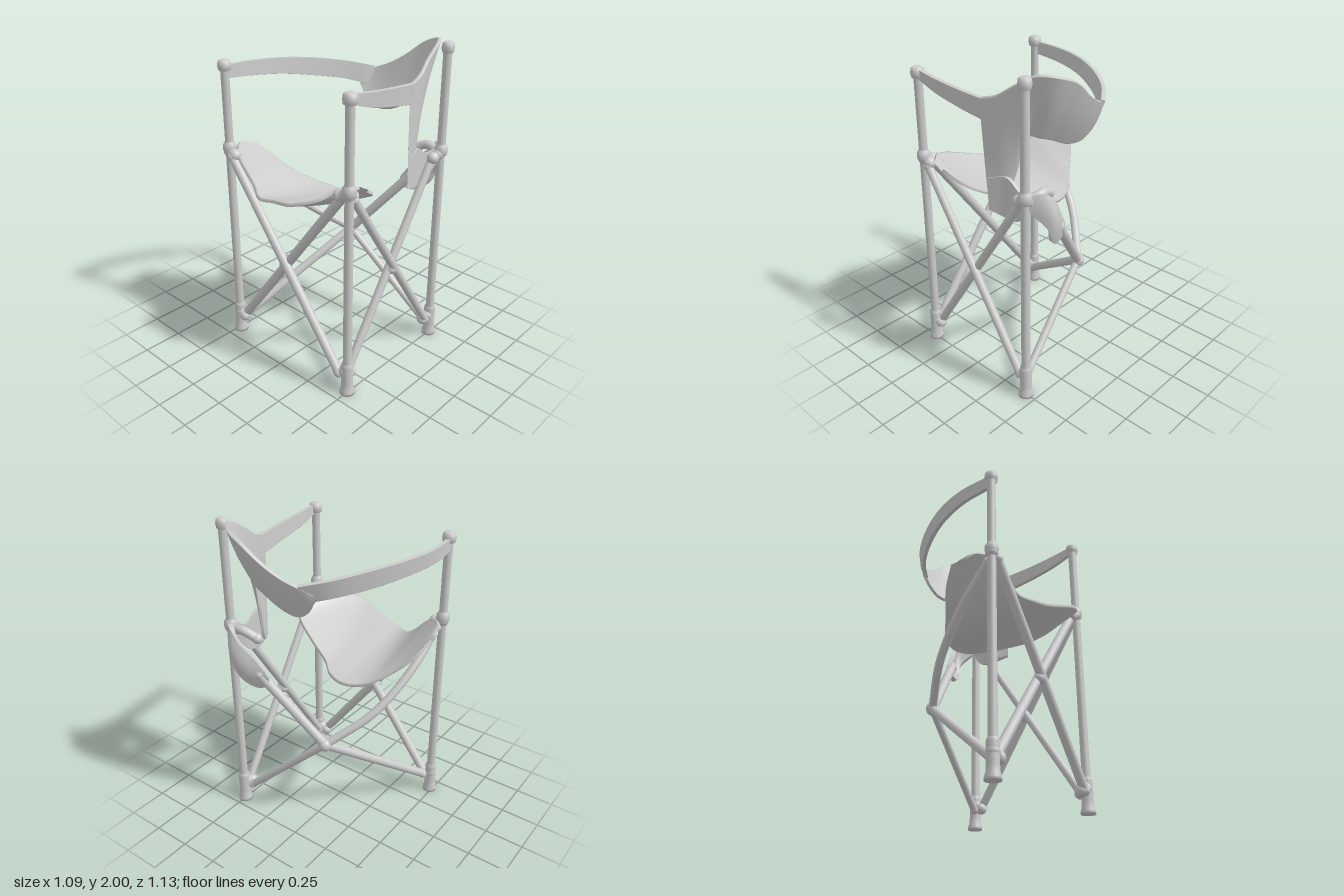
import * as THREE from 'three';

const grey = new THREE.MeshStandardMaterial({ color: 0xcccccc, side: THREE.DoubleSide });
grey.name = 'light grey';

const vec = (p) => new THREE.Vector3(...p);

function add(group, name, geometry) {
  const mesh = new THREE.Mesh(geometry, grey);
  mesh.name = name;
  group.add(mesh);
  return mesh;
}

// Cloth lofted between two edge curves, with a bulge in the middle and a real thickness
function cloth(edgeA, edgeB, { sag = [0, 0, 0], thick = 0.018, nu = 48, nv = 12 } = {}) {
  const a = new THREE.CatmullRomCurve3(edgeA.map(vec));
  const b = new THREE.CatmullRomCurve3(edgeB.map(vec));
  const bulge = vec(sag);
  const at = (u, v) => a.getPoint(u).lerp(b.getPoint(u), v)
    .addScaledVector(bulge, Math.sin(Math.PI * v) * Math.sin(Math.PI * u));
  const positions = [], index = [], ring = 2 * (nv + 1), e = 0.01;
  for (let i = 0; i <= nu; i++) {
    const u = i / nu;
    for (let k = 0; k < ring; k++) {
      const j = k <= nv ? k : ring - 1 - k;
      const v = (1 - Math.cos(Math.PI * j / nv)) / 2;
      const du = at(Math.min(u + e, 1), v).sub(at(Math.max(u - e, 0), v));
      const dv = at(u, Math.min(v + e, 1)).sub(at(u, Math.max(v - e, 0)));
      const n = dv.cross(du).normalize();
      const p = at(u, v).addScaledVector(n, (k <= nv ? 0.5 : -0.5) * thick);
      positions.push(p.x, p.y, p.z);
      if (i < nu) {
        const k2 = (k + 1) % ring, p0 = i * ring, p1 = p0 + ring;
        index.push(p0 + k, p0 + k2, p1 + k, p0 + k2, p1 + k2, p1 + k);
      }
    }
  }
  const g = new THREE.BufferGeometry();
  g.setAttribute('position', new THREE.Float32BufferAttribute(positions, 3));
  g.setIndex(index);
  g.computeVertexNormals();
  return g;
}

// Round bar through a few points, with a ball at each end
function bar(group, name, points, radius = 0.028) {
  const curve = new THREE.CatmullRomCurve3(points.map(vec));
  add(group, name, new THREE.TubeGeometry(curve, points.length > 2 ? 24 : 1, radius, 14));
  ball(group, name + 'End', points[0], radius * 1.15);
  ball(group, name + 'End', points[points.length - 1], radius * 1.15);
}

function ball(group, name, p, r) {
  add(group, name, new THREE.SphereGeometry(r, 16, 12)).position.set(...p);
}

// Upright with foot, lower socket, seat collar and top knob
function post(group, name, x, z, top, knob) {
  const profile = [
    [0, 0], [0.046, 0], [0.046, 0.018], [0.038, 0.045], [0.036, 0.08], [0.037, 0.2], [0.033, 0.215],
    [0.027, 0.225], [0.026, 1.3], [0.036, 1.31], [0.042, 1.335], [0.04, 1.36], [0.03, 1.375],
    [0.026, 1.385], [0.026, top - 0.07], [knob * 0.9, top - 0.06], [knob, top - 0.035],
    [knob * 0.9, top - 0.01], [knob * 0.55, top], [0, top],
  ].map(([r, y]) => new THREE.Vector2(r, y));
  add(group, name, new THREE.LatheGeometry(profile, 24)).position.set(x, 0, z);
}

export function createModel() {
  const chair = new THREE.Group();
  chair.name = 'foldingChair';

  // Three uprights
  post(chair, 'frontRightPost', -0.48, 0.41, 1.885, 0.042);
  post(chair, 'frontLeftPost', 0.497, 0.41, 1.885, 0.042);
  post(chair, 'backLeftPost', 0.5, -0.43, 2.0, 0.038);

  // Crossed bars on the front and left sides
  for (const s of [-1, 1]) {
    bar(chair, 'frontCrossBar', [[-0.44 * s, 1.29, 0.41 + 0.014 * s], [0.44 * s, 0.13, 0.41 + 0.014 * s]], 0.029);
    bar(chair, 'leftCrossBar', [[0.485 + 0.012 * s, 1.28, 0.37 * s], [0.485 + 0.012 * s, 0.13, -0.38 * s]], 0.026);
    // Brackets tying the bars to the posts
    for (const y of [0.13, 1.3]) {
      bar(chair, 'frontBracket', [[0.48 * s, y + 0.02, 0.41], [0.43 * s, y, 0.41]], 0.034);
      bar(chair, 'leftBracket', [[0.495, y + 0.02, 0.41 * s], [0.485, y, 0.37 * s]], 0.032);
    }
  }
  ball(chair, 'frontPivot', [-0.01, 0.7, 0.415], 0.036);
  ball(chair, 'leftPivot', [0.485, 0.69, 0], 0.036);

  // Bars meeting at the loose rear pivot
  const pivot = [-0.11, 0.64, -0.31];
  bar(chair, 'rightLowerBar', [[-0.44, 0.13, 0.38], pivot]);
  bar(chair, 'rightUpperBar', [[-0.46, 1.28, 0.37], [-0.43, 1.08, 0.17], [-0.32, 0.84, -0.08], pivot], 0.026);
  bar(chair, 'backLowerBar', [pivot, [0.45, 0.12, -0.4]], 0.024);
  bar(chair, 'backUpperBar', [pivot, [0.26, 1.09, -0.46]], 0.03);
  ball(chair, 'rearPivot', pivot, 0.042);

  // Sagging seat: rear edge, then front edge
  add(chair, 'seat', cloth(
    [[-0.54, 1.3, 0.17], [-0.48, 1.2, 0.08], [-0.38, 1.1, 0], [-0.25, 1.02, -0.1], [-0.12, 1.0, -0.14],
      [0, 1.01, -0.11], [0.1, 1.04, -0.03], [0.25, 1.11, 0.03], [0.4, 1.19, 0.1], [0.46, 1.24, 0.17], [0.49, 1.29, 0.25]],
    [[-0.535, 1.3, 0.24], [-0.5, 1.34, 0.32], [-0.4, 1.3, 0.41], [-0.25, 1.16, 0.43], [-0.14, 1.13, 0.49],
      [0, 1.16, 0.51], [0.1, 1.19, 0.54], [0.2, 1.22, 0.56], [0.36, 1.28, 0.48], [0.41, 1.33, 0.4], [0.49, 1.33, 0.32]],
    { sag: [0, -0.02, 0], nu: 60 }));

  // Backrest wrapping round the left rear corner and dropping to the left side
  add(chair, 'backrest', cloth(
    [[-0.13, 1.69, -0.42], [-0.07, 1.74, -0.475], [0.02, 1.78, -0.505], [0.12, 1.84, -0.53], [0.25, 1.94, -0.555],
      [0.36, 1.985, -0.53], [0.43, 1.99, -0.44], [0.455, 1.92, -0.31], [0.48, 1.85, -0.2], [0.495, 1.82, -0.1]],
    [[-0.13, 1.64, -0.41], [-0.08, 1.57, -0.4], [0, 1.52, -0.39], [0.12, 1.53, -0.385], [0.25, 1.59, -0.385],
      [0.33, 1.62, -0.37], [0.37, 1.63, -0.33], [0.41, 1.37, -0.26], [0.45, 1.16, -0.2], [0.485, 1.17, -0.14]],
    { sag: [0, 0, -0.015], nu: 72 }));

  // Loose flap joining the backrest to the rear post
  add(chair, 'sideFlap', cloth(
    [[0.485, 1.37, -0.14], [0.45, 1.39, -0.25], [0.45, 1.33, -0.35], [0.48, 1.36, -0.42]],
    [[0.485, 1.17, -0.14], [0.45, 1.14, -0.24], [0.45, 1.15, -0.34], [0.48, 1.26, -0.42]], { nu: 20 }));

  // Crumpled cloth at the top of the rear bar
  add(chair, 'rearFlap', cloth(
    [[0.2, 1.08, -0.44], [0.28, 1.19, -0.47], [0.36, 1.29, -0.51], [0.42, 1.36, -0.5], [0.49, 1.36, -0.44]],
    [[0.2, 1.02, -0.44], [0.29, 1.0, -0.46], [0.37, 1.06, -0.5], [0.42, 1.17, -0.51], [0.49, 1.27, -0.44]],
    { sag: [0, 0, -0.025], nu: 24, thick: 0.03 }));
  bar(chair, 'rearFlapFold', [[0.3, 1.3, -0.42], [0.38, 1.34, -0.45], [0.48, 1.32, -0.44]], 0.028);

  // Arm straps from the front posts to the backrest
  add(chair, 'rightArm', cloth(
    [[-0.49, 1.85, 0.39], [-0.49, 1.84, 0.2], [-0.44, 1.83, 0], [-0.34, 1.81, -0.2], [-0.21, 1.78, -0.37], [-0.07, 1.75, -0.48]],
    [[-0.49, 1.77, 0.39], [-0.485, 1.75, 0.2], [-0.43, 1.73, 0], [-0.33, 1.7, -0.19], [-0.2, 1.67, -0.35], [-0.08, 1.64, -0.43]],
    { thick: 0.024 }));
  add(chair, 'leftArm', cloth(
    [[0.5, 1.875, 0.4], [0.505, 1.855, 0.25], [0.505, 1.835, 0.05], [0.495, 1.82, -0.12]],
    [[0.5, 1.82, 0.4], [0.5, 1.77, 0.25], [0.5, 1.73, 0.05], [0.49, 1.7, -0.12]], { thick: 0.024 }));

  return chair;
}
